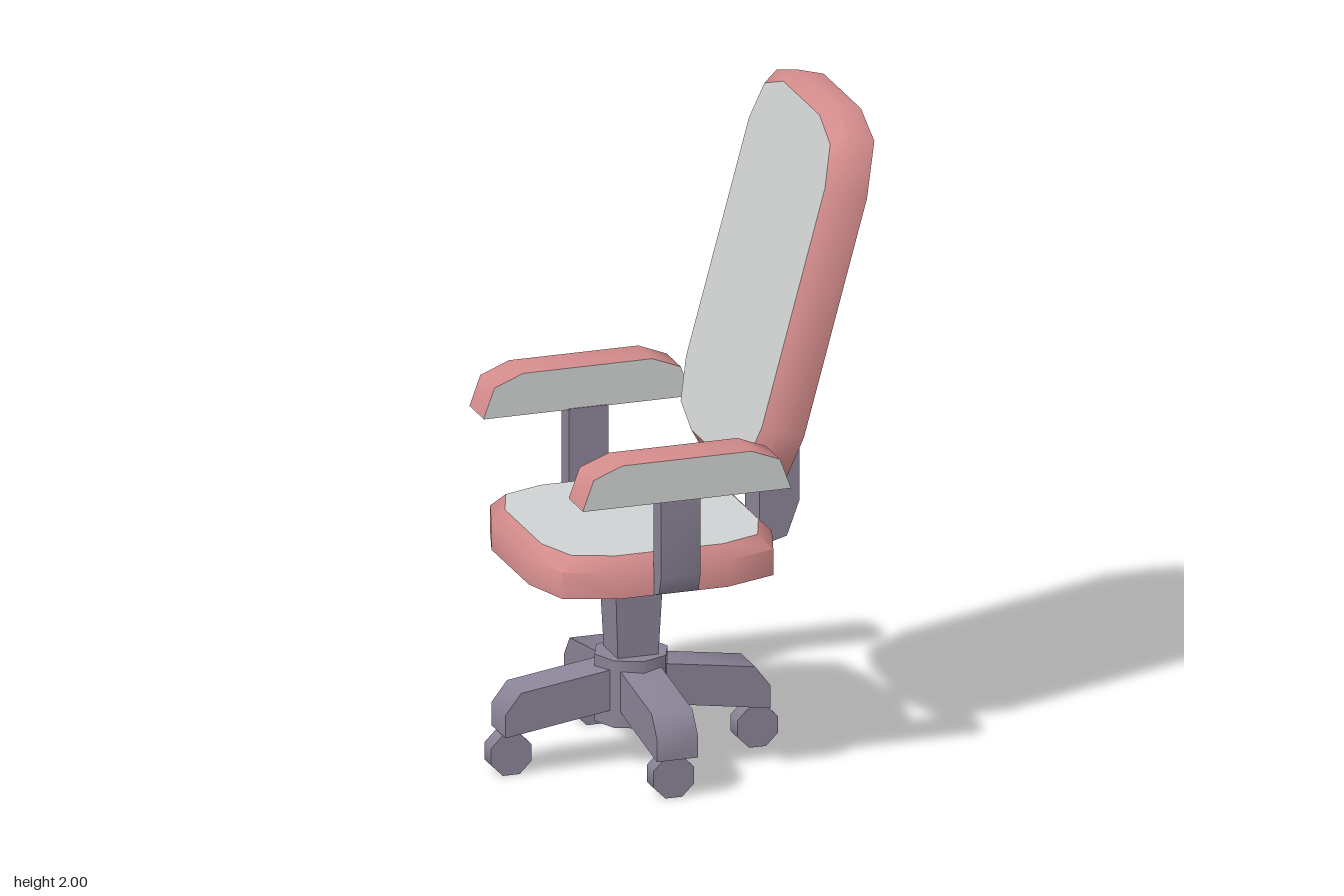
import * as THREE from 'three';
import { toCreasedNormals } from 'three/addons/utils/BufferGeometryUtils.js';

const CREASE = 1.0;
const CX = -0.107; // axis of the swivel base

export function createModel() {
  const paint = (name, color) => {
    const m = new THREE.MeshStandardMaterial({ color });
    m.name = name;
    return m;
  };
  const red = paint('red fabric', 0xd38b8b);
  const grey = paint('light grey', 0xcfd2d2);
  const frame = paint('purple grey frame', 0x8a8296);

  const chair = new THREE.Group();
  chair.name = 'deskChair';

  const add = (parent, name, geometry, material, x = 0, y = 0, z = 0) => {
    const mesh = new THREE.Mesh(geometry, material);
    mesh.name = name;
    mesh.position.set(x, y, z);
    parent.add(mesh);
    return mesh;
  };

  // Side profile extruded to a centred width along z
  const prism = (points, width) => {
    const shape = new THREE.Shape(points.map(p => new THREE.Vector2(...p)));
    const g = new THREE.ExtrudeGeometry(shape, { depth: width, bevelEnabled: false });
    return toCreasedNormals(g.translate(0, 0, -width / 2), CREASE);
  };

  const fromTriangles = verts => {
    const g = new THREE.BufferGeometry();
    g.setAttribute('position', new THREE.Float32BufferAttribute(verts, 3));
    return toCreasedNormals(g, CREASE);
  };

  // Cushion with cut corners, bevelled rim and a grey pad on top
  const cushion = (name, length, width) => {
    const a = length / 2, b = width / 2;
    const ring = (corner, y) => {
      const pts = [];
      [[1, 1], [-1, 1], [-1, -1], [1, -1]].forEach(([sx, sz], q) => {
        const c = q % 2 ? [...corner].reverse() : corner;
        c.forEach(([dx, dz]) => pts.push([sx * (a - dx), y, sz * (b - dz)]));
      });
      return pts;
    };
    const outer = [[0, 0.21], [0.05, 0.055], [0.21, 0]];
    const inner = [[0.04, 0.215], [0.088, 0.085], [0.21, 0.04]];
    const rings = [ring(outer, 0), ring(outer, 0.08), ring(inner, 0.12)];
    const shell = [], pad = [];
    const n = rings[0].length;
    for (let i = 0; i < n; i++) {
      const j = (i + 1) % n;
      for (let k = 0; k < 2; k++) {
        const lo = rings[k], hi = rings[k + 1];
        shell.push(...lo[i], ...hi[i], ...hi[j], ...lo[i], ...hi[j], ...lo[j]);
      }
      shell.push(0, 0, 0, ...rings[0][i], ...rings[0][j]);
      pad.push(0, 0.12, 0, ...rings[2][j], ...rings[2][i]);
    }
    const group = new THREE.Group();
    group.name = name;
    add(group, name + 'Shell', fromTriangles(shell), red);
    add(group, name + 'Pad', fromTriangles(pad), grey);
    chair.add(group);
    return group;
  };

  // Seat and reclined backrest
  cushion('seat', 0.75, 0.75).position.set(-0.105, 0.63, 0);
  const back = cushion('backrest', 1.16, 0.75);
  back.position.set(0.3925, 1.42, 0);
  back.rotation.z = 1.305;

  // Bracket joining seat and backrest
  add(chair, 'backBracket', prism([
    [0.267, 0.63], [0.352, 0.653], [0.39, 0.757], [0.39, 1.037],
    [0.357, 1.134], [0.31, 1.147], [0.267, 0.99],
  ], 0.126), frame);

  // Armrests and their posts
  const armProfile = [
    [-0.43, 0.96], [0.211, 0.96], [0.178, 1.05], [0.09, 1.085], [-0.308, 1.085], [-0.397, 1.05],
  ];
  const postProfile = [[0.372, 0.63], [0.421, 0.647], [0.438, 0.7], [0.438, 0.96], [0.372, 0.96]];
  for (const [side, s] of [['left', 1], ['right', -1]]) {
    add(chair, side + 'Armrest', prism(armProfile, 0.125), [grey, red], 0, 0, s * 0.4375);
    add(chair, side + 'ArmrestUnderside', new THREE.BoxGeometry(0.641, 0.003, 0.125), grey,
      -0.1095, 0.9585, s * 0.4375);
    const post = add(chair, side + 'ArmPost', prism(postProfile, 0.122), frame, CX);
    post.rotation.y = -s * Math.PI / 2;
  }

  // Tapered square column
  const column = new THREE.BoxGeometry(0.152, 0.31, 0.152);
  const pos = column.attributes.position;
  for (let i = 0; i < pos.count; i++) {
    if (pos.getY(i) < 0) {
      pos.setX(i, pos.getX(i) * 0.82);
      pos.setZ(i, pos.getZ(i) * 0.82);
    }
  }
  column.computeVertexNormals();
  add(chair, 'column', column, frame, CX, 0.477, 0);

  // Hub, four legs and casters
  add(chair, 'hub', new THREE.CylinderGeometry(0.113, 0.113, 0.206, 8), frame, CX, 0.23, 0);
  const legShape = prism([
    [0.05, 0.152], [0.113, 0.172], [0.409, 0.127], [0.409, 0.197], [0.361, 0.26], [0.05, 0.306],
  ].filter((p, i) => i !== 0).concat([[0.05, 0.182]]), 0.126);
  const wheel = new THREE.CylinderGeometry(0.0675, 0.0675, 0.06, 8);
  wheel.rotateY(Math.PI / 8).rotateX(Math.PI / 2);
  for (let i = 0; i < 4; i++) {
    const angle = i * Math.PI / 2;
    const leg = add(chair, 'leg' + (i + 1), legShape, frame, CX);
    leg.rotation.y = angle;
    add(chair, 'caster' + (i + 1), wheel, frame,
      CX + 0.38 * Math.cos(angle), 0.0625, -0.347 * Math.sin(angle));
  }

  return chair;
}
